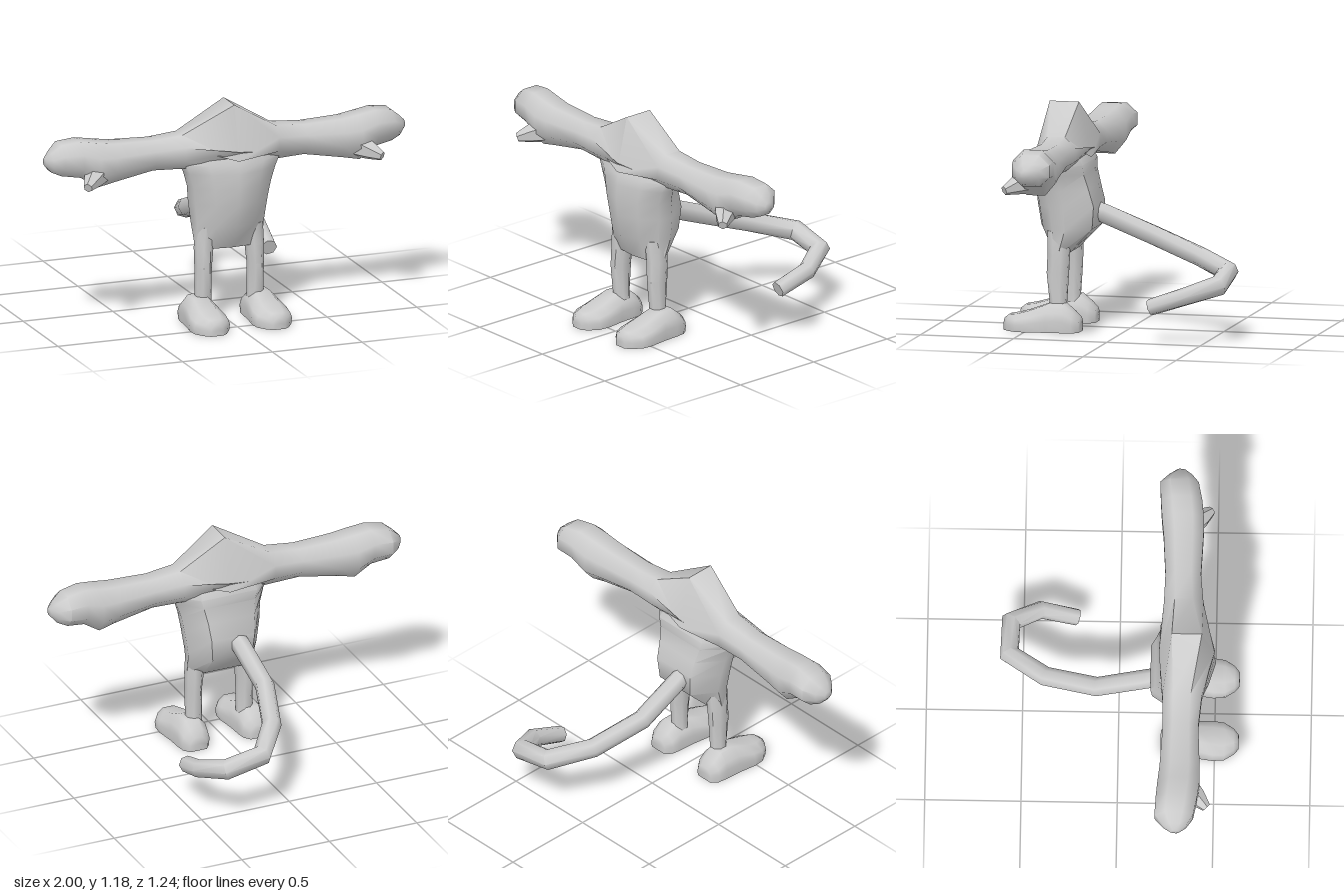
import * as THREE from 'three';
import { toCreasedNormals } from 'three/addons/utils/BufferGeometryUtils.js';

const V = (x, y, z) => new THREE.Vector3(x, y, z);
const material = new THREE.MeshStandardMaterial({ color: 0xcccccc });

// Skin through closed rings of equal length, capped at both ends
function loft(name, rings) {
  const n = rings[0].length;
  const points = rings.flat();
  const index = [];
  for (let r = 0; r < rings.length - 1; r++) {
    for (let i = 0; i < n; i++) {
      const a = r * n + i, b = r * n + (i + 1) % n;
      index.push(a, b, b + n, a, b + n, a + n);
    }
  }
  for (const r of [0, rings.length - 1]) {
    const centre = rings[r].reduce((s, p) => s.add(p), V(0, 0, 0)).divideScalar(n);
    points.push(centre);
    for (let i = 0; i < n; i++) {
      const a = r * n + i, b = r * n + (i + 1) % n;
      index.push(points.length - 1, r ? a : b, r ? b : a);
    }
  }
  // Turn the skin outward if its signed volume is negative
  let volume = 0;
  for (let i = 0; i < index.length; i += 3) {
    const [a, b, c] = index.slice(i, i + 3).map(k => points[k]);
    volume += a.dot(b.clone().cross(c));
  }
  if (volume < 0) index.reverse();
  const geometry = new THREE.BufferGeometry().setFromPoints(points);
  geometry.setIndex(index);
  const mesh = new THREE.Mesh(toCreasedNormals(geometry, 0.95), material);
  mesh.name = name;
  return mesh;
}

// Tapering tube along a bent path of [x, y, z, radius]
function taperedTube(name, path, sides) {
  const pts = path.map(p => V(p[0], p[1], p[2]));
  return loft(name, pts.map((p, k) => {
    const before = pts[Math.max(k - 1, 0)], after = pts[Math.min(k + 1, pts.length - 1)];
    const dir = k > 0 && k < pts.length - 1
      ? p.clone().sub(before).normalize().add(after.clone().sub(p).normalize()).normalize()
      : after.clone().sub(before).normalize();
    const side = dir.clone().cross(V(0, 1, 0)).normalize();
    const up = side.clone().cross(dir);
    return Array.from({ length: sides }, (_, i) => {
      const t = (i + 0.5) / sides * Math.PI * 2;
      return p.clone().addScaledVector(side, Math.cos(t) * path[k][3])
        .addScaledVector(up, Math.sin(t) * path[k][3]);
    });
  }));
}

// Eight-sided arm section across x; fz and fy set the upper bevel
function armRing([x, y0, y1, z0, z1, fz = 0.27, fy = 0.3]) {
  const dz = z1 - z0, dy = y1 - y0;
  return [
    V(x, y1, z0 + dz * fz), V(x, y1, z1 - dz * fz),
    V(x, y1 - dy * fy, z1), V(x, y0 + dy * 0.3, z1),
    V(x, y0, z1 - dz * 0.27), V(x, y0, z0 + dz * 0.27),
    V(x, y0 + dy * 0.3, z0), V(x, y1 - dy * fy, z0),
  ];
}

// Torso section: pointed chest, broad flat back
function torsoRing([y, half, z0, z1]) {
  const outline = [[0, 1], [0.55, 0.88], [0.95, 0.66], [1, 0.42], [0.58, 0]];
  const right = outline.map(([x, z]) => V(x * half, y, z0 + (z1 - z0) * z));
  const left = right.slice(1).reverse().map(p => V(-p.x, p.y, p.z));
  return [...right, ...left];
}

export function createModel() {
  const model = new THREE.Group();
  model.name = 'figure';

  // Belly and hips
  const torso = loft('torso', [
    [0.4, 0.185, 0.3, 0.395],
    [0.53, 0.195, 0.175, 0.475],
    [0.65, 0.212, 0.165, 0.495],
    [0.74, 0.225, 0.19, 0.505],
    [0.82, 0.25, 0.212, 0.498],
    [0.87, 0.275, 0.215, 0.49],
    [0.92, 0.25, 0.24, 0.46],
  ].map(torsoRing));
  torso.position.x = 0.012;
  model.add(torso);

  // Peaked shoulders running out into both arms and mitten hands
  const arm = [
    [0.26, 0.85, 1.03, 0.23, 0.435],
    [0.42, 0.855, 1.015, 0.235, 0.42],
    [0.64, 0.815, 1.022, 0.222, 0.43],
    [0.73, 0.795, 1.035, 0.212, 0.43],
    [0.82, 0.855, 1.048, 0.205, 0.42],
    [0.92, 0.87, 1.035, 0.2, 0.4],
    [0.97, 0.89, 0.995, 0.245, 0.365],
    [1.0, 0.925, 0.965, 0.285, 0.33],
  ];
  const shoulder = [0.01, 0.84, 1.18, 0.208, 0.498, 0.23, 0.85];
  const mirrored = arm.map(([x, ...rest]) => [-x, ...rest]).reverse();
  model.add(loft('shouldersAndArms', [...mirrored, shoulder, ...arm].map(armRing)));

  for (const s of [1, -1]) {
    const side = s > 0 ? 'left' : 'right';

    // Thumb
    model.add(taperedTube(side + 'Thumb', [
      [s * 0.72, 0.875, 0.35, 0.075],
      [s * 0.775, 0.85, 0.42, 0.05],
      [s * 0.82, 0.828, 0.468, 0.025],
    ], 6));

    // Leg
    const leg = loft(side + 'Leg', [
      [0.1, 0.145, 0.042, 0.345, 0.042],
      [0.15, 0.145, 0.04, 0.347, 0.043],
      [0.3, 0.145, 0.04, 0.35, 0.056],
      [0.4, 0.141, 0.046, 0.346, 0.056],
      [0.52, 0.13, 0.05, 0.345, 0.06],
    ].map(([y, x, rx, z, rz]) => Array.from({ length: 8 }, (_, i) => {
      const t = (i + 0.5) / 8 * Math.PI * 2;
      return V(s * x + 1.08 * rx * Math.cos(t), y, z + 1.08 * rz * Math.sin(t));
    })));
    leg.position.x = 0.012;
    model.add(leg);

    // Foot: sections from heel to toe as [z, half width, height]
    const foot = loft(side + 'Foot', [
      [0.22, 0.05, 0.075],
      [0.255, 0.078, 0.105],
      [0.305, 0.085, 0.145],
      [0.39, 0.09, 0.143],
      [0.49, 0.105, 0.105],
      [0.55, 0.1, 0.088],
      [0.6, 0.066, 0.08],
      [0.625, 0.035, 0.06],
    ].map(([z, w, h]) => [
      [-0.95, 0], [0.95, 0], [1, 0.4], [0.9, 0.7], [0.45, 1],
      [-0.45, 1], [-0.9, 0.7], [-1, 0.4],
    ].map(([x, y]) => V(x * w, y * h, z))));
    foot.position.x = s * 0.173 + 0.012;
    model.add(foot);
  }

  // Tail curling round to the figure's left
  model.add(taperedTube('tail', [
    [-0.025, 0.62, 0.22, 0.05],
    [-0.03, 0.595, 0.15, 0.052],
    [-0.04, 0.49, -0.11, 0.052],
    [0.045, 0.4, -0.38, 0.052],
    [0.185, 0.345, -0.57, 0.055],
    [0.385, 0.3, -0.565, 0.055],
    [0.47, 0.25, -0.41, 0.048],
    [0.455, 0.185, -0.22, 0.044],
  ], 7));

  return model;
}
